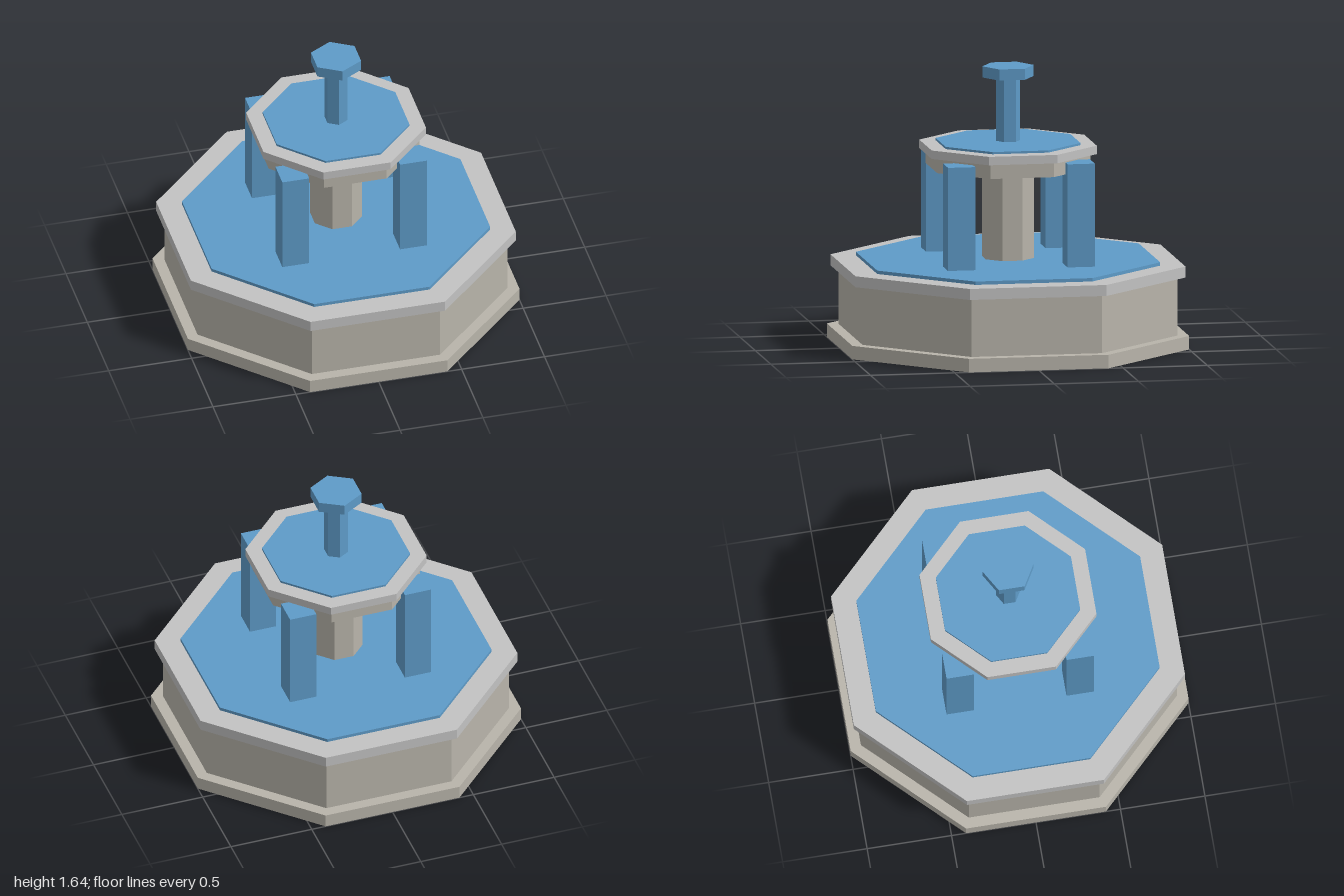
import * as THREE from 'three';

const mat = (name, color) => {
  const m = new THREE.MeshStandardMaterial({ color, flatShading: true });
  m.name = name;
  return m;
};

export function createModel() {
  const fountain = new THREE.Group();
  fountain.name = 'fountain';
  const stone = mat('warm stone', 0xb8b4aa);
  const trim = mat('pale trim', 0xc2c2c2);
  const water = mat('water blue', 0x5e9bc8);

  const add = (name, geometry, material, x, y, z) => {
    const mesh = new THREE.Mesh(geometry, material);
    mesh.name = name;
    mesh.position.set(x, y, z);
    fountain.add(mesh);
  };

  // Octagonal slab with flat sides facing the axes, sized by its half width
  const octagon = (name, material, half, y0, y1) => {
    const r = half / Math.cos(Math.PI / 8);
    const g = new THREE.CylinderGeometry(r, r, y1 - y0, 8, 1, false, Math.PI / 8);
    add(name, g, material, 0, (y0 + y1) / 2, 0);
  };
  // Hexagonal prism with corners on the z axis
  const hexagon = (name, r, y0, y1) =>
    add(name, new THREE.CylinderGeometry(r, r, y1 - y0, 6), water, 0, (y0 + y1) / 2, 0);

  // Lower basin
  octagon('basePlinth', stone, 1, 0, 0.08);
  octagon('basinWall', stone, 0.935, 0.08, 0.425);
  octagon('basinRim', trim, 0.98, 0.425, 0.49);
  octagon('basinWater', water, 0.84, 0.48, 0.51);

  // Column and upper bowl
  octagon('column', stone, 0.143, 0.5, 1.06);
  octagon('upperBowl', stone, 0.455, 1.05, 1.137);
  octagon('upperRim', trim, 0.49, 1.137, 1.187);
  octagon('upperWater', water, 0.4, 1.18, 1.2);

  // Central jet with its spreading top
  hexagon('jetStem', 0.07, 1.19, 1.58);
  hexagon('jetTop', 0.152, 1.577, 1.643);

  // Four falling streams at the diagonals
  for (const sx of [-1, 1]) for (const sz of [-1, 1]) {
    add('waterStream', new THREE.BoxGeometry(0.162, 0.62, 0.162), water, sx * 0.355, 0.81, sz * 0.355);
  }
  return fountain;
}
